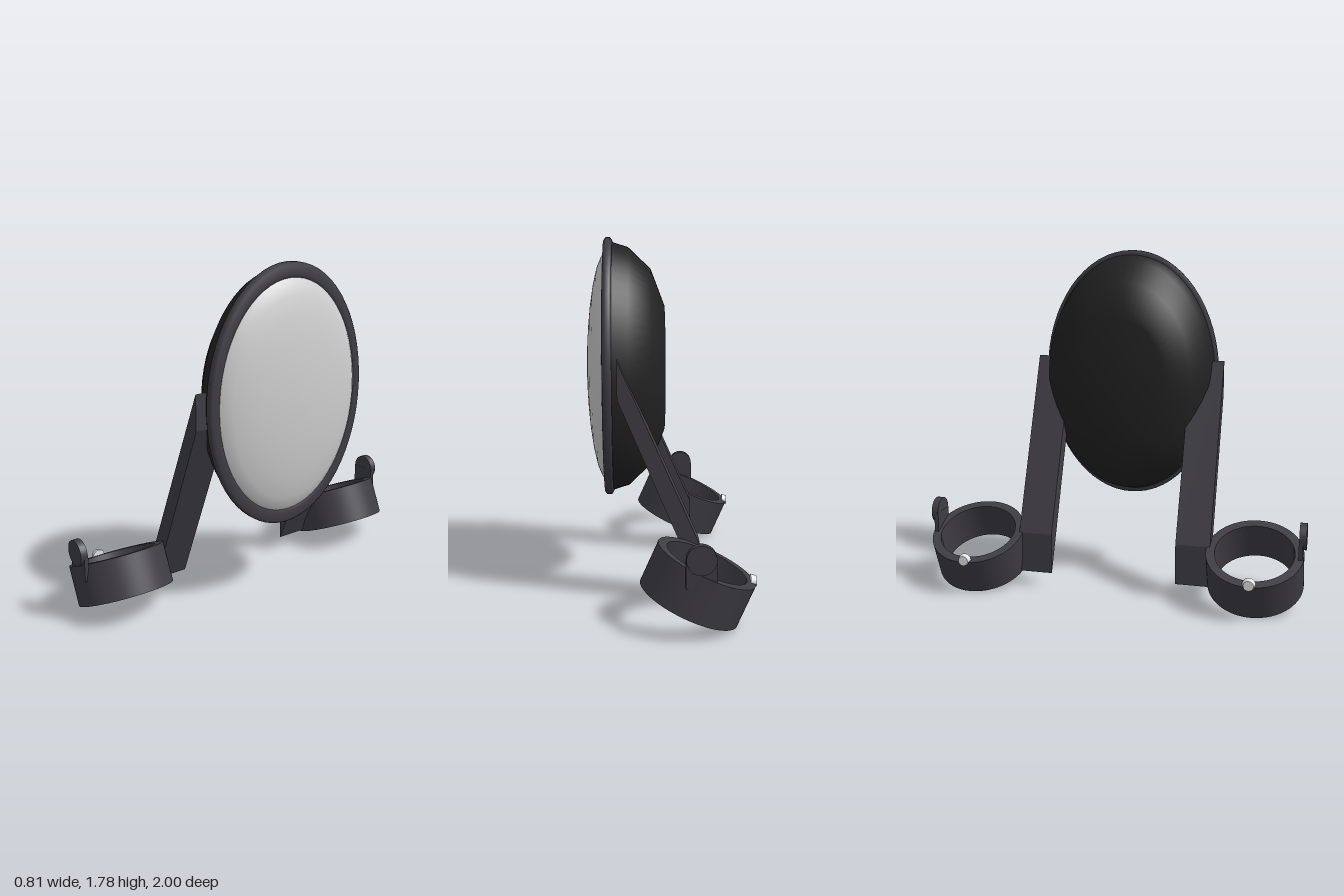
import * as THREE from 'three';
import { toCreasedNormals } from 'three/addons/utils/BufferGeometryUtils.js';

const material = (name, color) => {
  const m = new THREE.MeshStandardMaterial({ color });
  m.name = name;
  return m;
};

export function createModel() {
  const frame = material('charcoal plastic', 0x3f3d44);
  const black = material('black shell', 0x222222);
  const glass = material('silver glass', 0xd0d0d0);
  const metal = material('light metal', 0xe4e4e4);

  const model = new THREE.Group();
  model.name = 'mirrorWithClamps';
  const add = (parent, name, geometry, mat, x = 0, y = 0, z = 0) => {
    const mesh = new THREE.Mesh(geometry, mat);
    mesh.name = name;
    mesh.position.set(x, y, z);
    parent.add(mesh);
    return mesh;
  };

  // Oval head: profiles of [radius, x] turned about the x axis, narrowed in z
  const oval = (points) => {
    const g = new THREE.LatheGeometry(points.map(([r, x]) => new THREE.Vector2(r, x)), 64);
    g.rotateZ(-Math.PI / 2);
    g.scale(1, 1, 0.717);
    return g;
  };
  const head = new THREE.Group();
  head.name = 'mirrorHead';
  head.position.y = 1.113;
  model.add(head);
  add(head, 'backShell', oval([[0, 0], [0.325, 0], [0.51, 0.07], [0.62, 0.185], [0.65, 0.28]]), black);
  add(head, 'rim', oval([
    [0.59, 0.275], [0.61, 0.266], [0.655, 0.266], [0.67, 0.276],
    [0.67, 0.3], [0.655, 0.311], [0.61, 0.314], [0.59, 0.306], [0.59, 0.275],
  ]), frame);
  add(head, 'mirrorGlass', oval([
    [0.6, 0.305], [0.57, 0.325], [0.52, 0.346], [0.43, 0.367],
    [0.33, 0.382], [0.23, 0.392], [0.12, 0.399], [0, 0.401],
  ]), glass);

  // Slanted arm with upright cut ends
  const armShape = new THREE.Shape([
    [-0.16, 0.085], [0.24, 1.02], [0.24, 1.205], [-0.16, 0.3],
  ].map(([x, y]) => new THREE.Vector2(x, y)));
  const armGeometry = new THREE.ExtrudeGeometry(armShape, { depth: 0.18, bevelEnabled: false });
  armGeometry.translate(0, 0, -0.09);

  // Tilted clamp ring
  const ringShape = new THREE.Shape().absarc(0, 0, 0.247, 0, Math.PI * 2, false);
  ringShape.holes.push(new THREE.Path().absarc(0, 0, 0.202, 0, Math.PI * 2, true));
  let ringGeometry = new THREE.ExtrudeGeometry(ringShape, { depth: 0.208, bevelEnabled: false, curveSegments: 48 });
  ringGeometry.translate(0, 0, -0.104);
  ringGeometry.rotateX(Math.PI / 2);
  ringGeometry = toCreasedNormals(ringGeometry, 0.6);
  ringGeometry.rotateZ(Math.atan2(0.2, 0.45));

  const knobGeometry = new THREE.CylinderGeometry(0.068, 0.068, 0.036, 24);
  knobGeometry.rotateX(Math.PI / 2);
  const boltGeometry = new THREE.CylinderGeometry(0.026, 0.034, 0.028, 12);
  boltGeometry.rotateZ(Math.PI / 2);

  // Matching arm and clamp on both sides
  for (const side of [1, -1]) {
    const mount = new THREE.Group();
    mount.name = side > 0 ? 'frontMount' : 'backMount';
    model.add(mount);
    add(mount, 'arm', armGeometry, frame, 0, 0, side * 0.425);
    add(mount, 'clampRing', ringGeometry, frame, -0.132, 0.2, side * 0.744);
    add(mount, 'knobTab', new THREE.BoxGeometry(0.138, 0.13, 0.022), frame, -0.132, 0.32, side * 0.974);
    add(mount, 'knob', knobGeometry, frame, -0.132, 0.387, side * 0.982);
    add(mount, 'bolt', boltGeometry, metal, -0.39, 0.203, side * 0.74);
  }
  return model;
}
